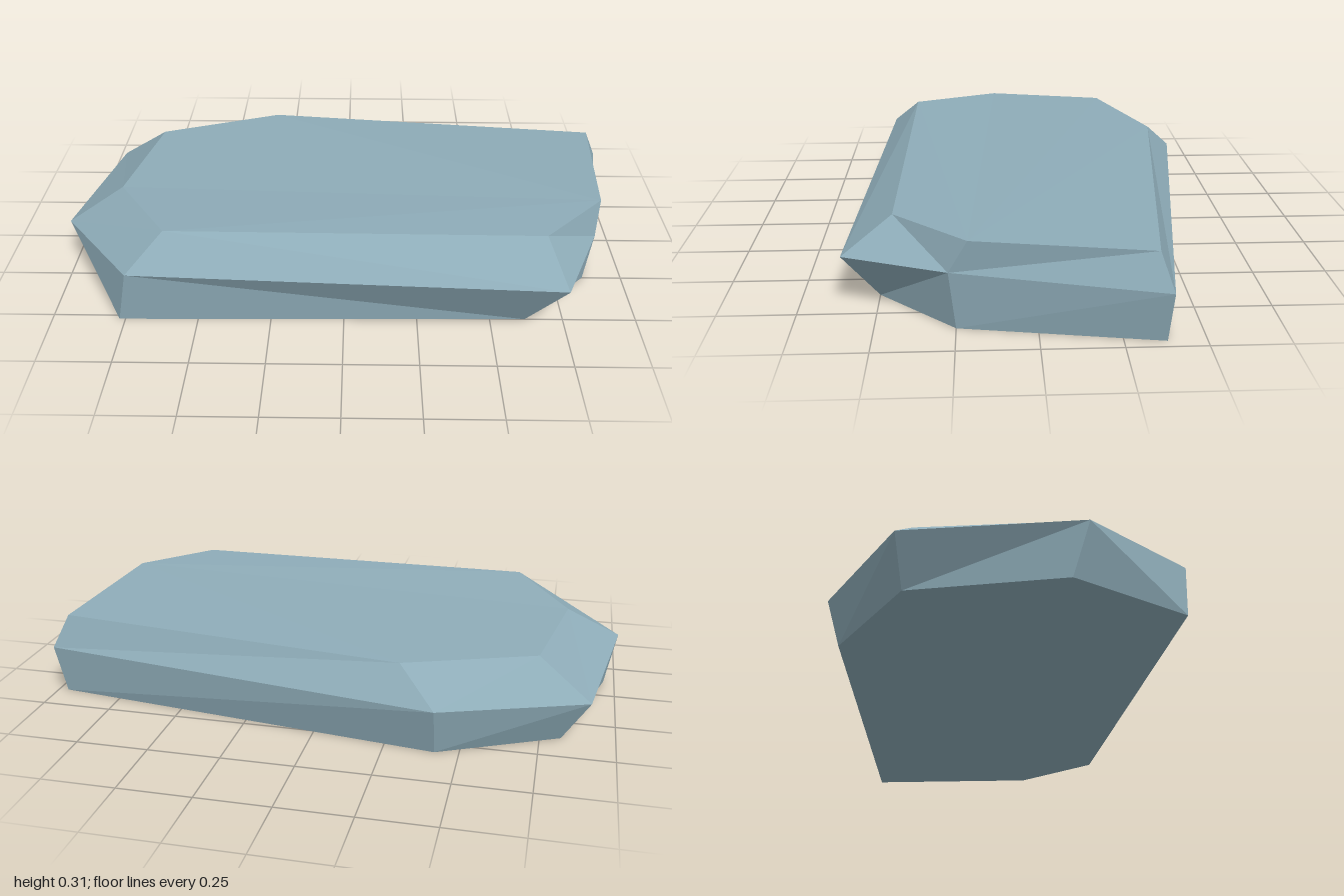
import * as THREE from 'three';

// Three seven-cornered rings, counter-clockwise seen from above
const ring = (pts) => pts.map((p) => new THREE.Vector3(...p));
const base = ring([
  [-0.77, 0, 0.52], [0.62, 0, 0.5], [0.86, 0, 0.25], [0.965, 0, -0.38],
  [-0.42, 0, -0.56], [-0.82, 0, -0.37], [-0.96, 0, 0.12],
]);
const waist = ring([
  [-0.73, 0.195, 0.54], [0.74, 0.19, 0.605], [0.88, 0.195, 0.27], [1, 0.17, -0.39],
  [-0.42, 0.165, -0.605], [-0.91, 0.15, -0.4], [-1, 0.175, 0.17],
]);
const crown = ring([
  [-0.61, 0.305, 0.435], [0.68, 0.305, 0.445], [0.9, 0.305, 0.21], [0.95, 0.285, -0.35],
  [-0.29, 0.28, -0.5], [-0.73, 0.28, -0.34], [-0.81, 0.285, 0.11],
]);

// Joins two rings; each facet pair is split along a rising (1) or falling (0) diagonal
function band(lower, upper, rising) {
  return lower.flatMap((a, i) => {
    const j = (i + 1) % lower.length;
    const b = lower[j], c = upper[j], d = upper[i];
    return rising[i] ? [a, b, c, a, c, d] : [a, b, d, b, c, d];
  });
}

// Fills a ring with a fan of facets from one corner
function cap(points, start, up) {
  const n = points.length;
  const out = [];
  for (let k = 1; k < n - 1; k++) {
    const b = points[(start + k) % n], c = points[(start + k + 1) % n];
    out.push(points[start], ...(up ? [b, c] : [c, b]));
  }
  return out;
}

export function createModel() {
  const stone = new THREE.MeshStandardMaterial({ color: 0x8eacb8 });
  stone.name = 'blueGreyStone';
  const group = new THREE.Group();
  group.name = 'flatRock';

  const add = (name, triangles) => {
    // Unshared corners give each facet its own flat normal
    const geometry = new THREE.BufferGeometry().setFromPoints(triangles);
    geometry.computeVertexNormals();
    const mesh = new THREE.Mesh(geometry, stone);
    mesh.name = name;
    group.add(mesh);
  };

  add('underside', cap(base, 0, false));
  add('lowerSides', band(base, waist, [0, 1, 1, 1, 1, 1, 0]));
  add('bevelledShoulder', band(waist, crown, [0, 0, 1, 1, 1, 1, 1]));
  add('topSurface', cap(crown, 2, true));
  return group;
}
